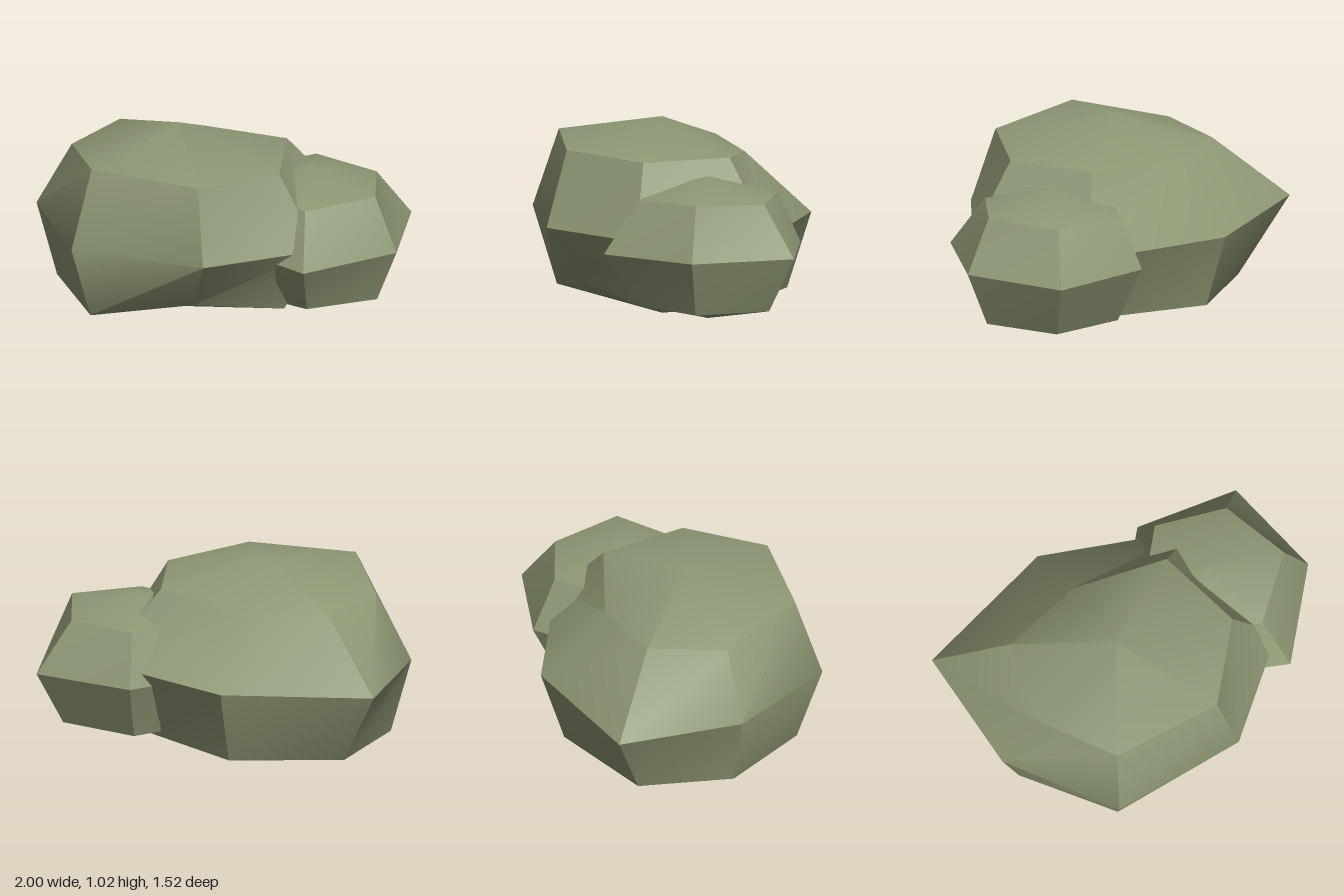
import * as THREE from 'three';
import { toCreasedNormals } from 'three/addons/utils/BufferGeometryUtils.js';

// Closed boulder: bottom point, stacked rings (ordered from +x towards +z), top point
function boulder(name, material, bottom, rings, top) {
  const n = rings[0].length;
  const pos = [];
  const tri = (a, b, c) => pos.push(...a, ...b, ...c);
  for (let i = 0; i < n; i++) {
    const j = (i + 1) % n;
    tri(bottom, rings[0][i], rings[0][j]);
    for (let k = 0; k < rings.length - 1; k++) {
      const lo = rings[k], hi = rings[k + 1];
      tri(lo[j], lo[i], hi[i]);
      tri(lo[j], hi[i], hi[j]);
    }
    const last = rings[rings.length - 1];
    tri(last[j], last[i], top);
  }
  const geo = new THREE.BufferGeometry();
  geo.setAttribute('position', new THREE.Float32BufferAttribute(pos, 3));
  const mesh = new THREE.Mesh(toCreasedNormals(geo, 0.6), material);
  mesh.name = name;
  return mesh;
}

export function createModel() {
  const group = new THREE.Group();
  group.name = 'boulders';
  const stone = new THREE.MeshStandardMaterial({ color: 0x8e9874 });
  stone.name = 'mossy stone';

  // Large seven-sided boulder
  group.add(boulder('largeBoulder', stone, [-0.12, 0, 0.06], [
    [[0.53, 0.14, 0.06], [0.2, 0.2, 0.4], [-0.28, 0.11, 0.63], [-0.71, 0.12, 0.3],
      [-0.75, 0.105, -0.19], [-0.29, 0.12, -0.56], [0.32, 0.12, -0.41]],
    [[0.74, 0.51, 0.06], [0.38, 0.51, 0.58], [-0.31, 0.51, 0.76], [-0.81, 0.51, 0.34],
      [-1, 0.51, -0.29], [-0.32, 0.51, -0.68], [0.5, 0.51, -0.59]],
    [[0.5, 0.88, 0.06], [0.29, 0.9, 0.49], [-0.28, 0.915, 0.62], [-0.64, 0.85, 0.27],
      [-0.62, 0.85, -0.14], [-0.23, 0.83, -0.35], [0.27, 0.88, -0.35]],
  ], [-0.12, 1.02, 0.06]));

  // Small six-sided boulder leaning into the large one
  group.add(boulder('smallBoulder', stone, [0.47, 0.08, -0.27], [
    [[0.88, 0.16, -0.27], [0.67, 0.17, 0.06], [0.29, 0.16, 0.05],
      [0.1, 0.16, -0.27], [0.28, 0.15, -0.58], [0.69, 0.16, -0.62]],
    [[1, 0.445, -0.27], [0.76, 0.445, 0.225], [0.23, 0.445, 0.15],
      [0, 0.445, -0.27], [0.22, 0.445, -0.71], [0.76, 0.445, -0.76]],
    [[0.87, 0.725, -0.27], [0.66, 0.71, 0.06], [0.29, 0.71, 0.03],
      [0.12, 0.71, -0.27], [0.28, 0.71, -0.6], [0.66, 0.705, -0.59]],
  ], [0.47, 0.815, -0.27]));

  return group;
}
